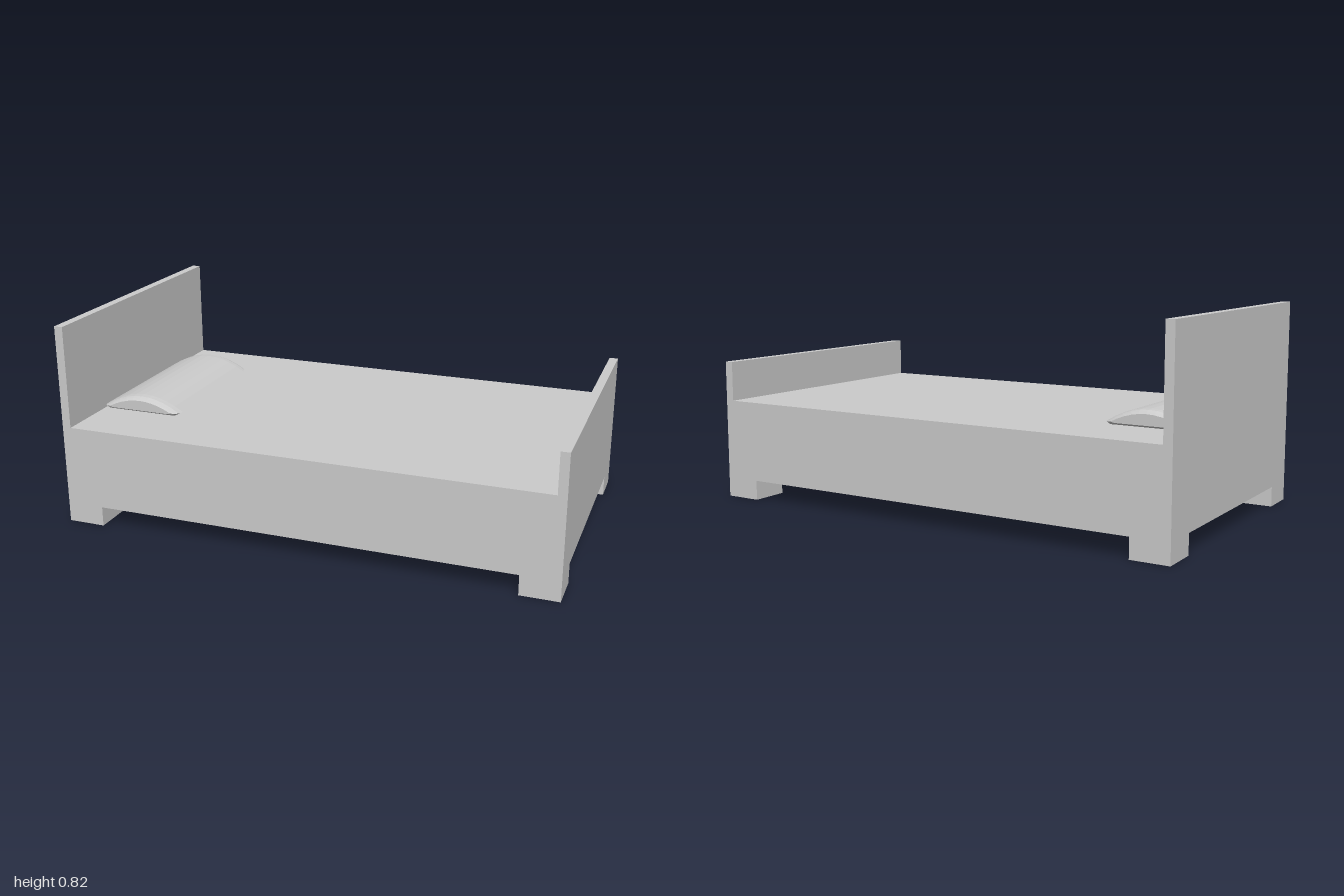
import * as THREE from 'three';

const material = new THREE.MeshStandardMaterial({ color: 0xcccccc });
const DEPTH = 1.154;

// Box given by its x and y limits, its depth and the z of its centre
function addBox(group, name, x0, x1, y0, y1, depth = DEPTH, z = 0) {
  const mesh = new THREE.Mesh(new THREE.BoxGeometry(x1 - x0, y1 - y0, depth), material);
  mesh.position.set((x0 + x1) / 2, (y0 + y1) / 2, z);
  mesh.name = name;
  group.add(mesh);
}

// Lens-shaped cross-section, counter-clockwise: flat underside, arched top
function pillowSection(z, halfWidth, bottom, rim, top) {
  const points = [[-halfWidth * 0.9, bottom, z], [halfWidth * 0.9, bottom, z]];
  const steps = 10;
  for (let i = 0; i <= steps; i++) {
    const u = 1 - (2 * i) / steps;
    points.push([u * halfWidth, rim + (top - rim) * (1 - u * u), z]);
  }
  return points;
}

// Pillow lofted through sections that shrink towards both ends
function pillowGeometry() {
  const half = [
    // z, half width, bottom, rim, top
    [0.335, 0.14, 0.01, 0.014, 0.052],
    [0.327, 0.158, 0.004, 0.012, 0.06],
    [0.314, 0.168, 0.001, 0.011, 0.065],
    [0.29, 0.173, 0, 0.01, 0.067],
  ];
  const rows = [...half.map(([z, ...r]) => [-z, ...r]), ...half.slice().reverse()];
  const sections = rows.map((r) => pillowSection(...r));
  const n = sections[0].length;
  const index = [];
  for (let s = 0; s < sections.length - 1; s++) {
    for (let i = 0; i < n; i++) {
      const a = s * n + i, b = s * n + ((i + 1) % n);
      index.push(a, b, b + n, a, b + n, a + n);
    }
  }
  // End caps
  const last = (sections.length - 1) * n;
  for (let i = 1; i < n - 1; i++) {
    index.push(0, i + 1, i, last, last + i, last + i + 1);
  }
  const geometry = new THREE.BufferGeometry();
  geometry.setAttribute('position', new THREE.Float32BufferAttribute(sections.flat(2), 3));
  geometry.setIndex(index);
  const flat = geometry.toNonIndexed();
  flat.computeVertexNormals();
  return flat;
}

export function createModel() {
  const bed = new THREE.Group();
  bed.name = 'bed';

  // Bed body between the two end boards
  addBox(bed, 'mattressBase', -0.965, 0.965, 0.08, 0.405);
  addBox(bed, 'headboard', -1, -0.965, 0.08, 0.817);
  addBox(bed, 'footboard', 0.965, 1, 0.08, 0.566);

  // Four square feet flush with the corners
  const foot = 0.152;
  for (const side of [-1, 1]) {
    for (const end of [-1, 1]) {
      const x = side * (1 - foot / 2);
      addBox(bed, 'foot', x - foot / 2, x + foot / 2, 0, 0.08, foot, end * (DEPTH - foot) / 2);
    }
  }

  // Pillow against the headboard
  const pillow = new THREE.Mesh(pillowGeometry(), material);
  pillow.name = 'pillow';
  pillow.position.set(-0.792, 0.408, 0);
  bed.add(pillow);

  return bed;
}
